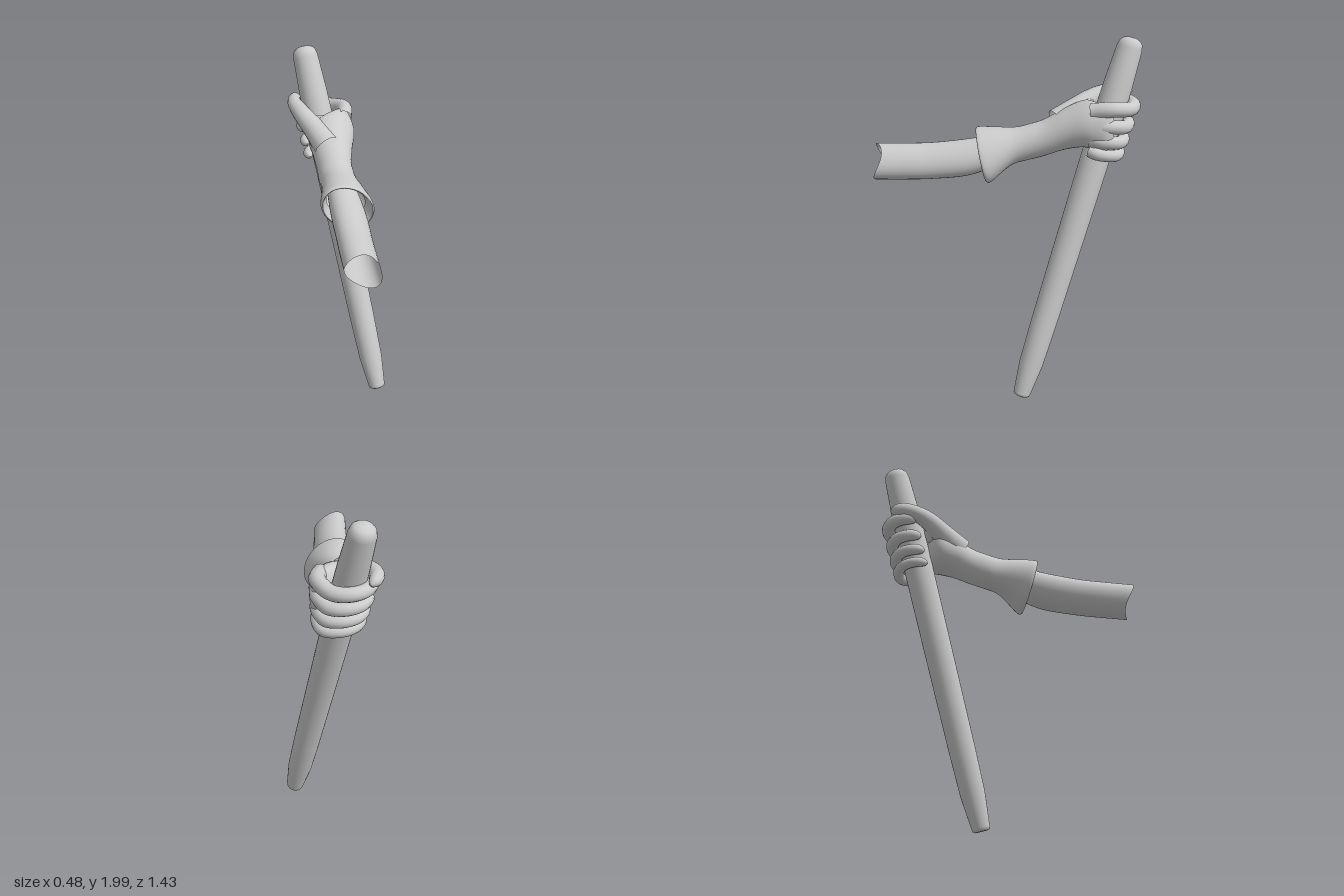
import * as THREE from 'three';
import { mergeVertices } from 'three/addons/utils/BufferGeometryUtils.js';

const V = (x, y, z) => new THREE.Vector3(x, y, z);
const material = new THREE.MeshStandardMaterial({ color: 0xcccccc, side: THREE.DoubleSide });

function part(name, geometry) {
  const mesh = new THREE.Mesh(geometry, material);
  mesh.name = name;
  return mesh;
}

// Skin over elliptical sections [z, centreX, centreY, radiusA, radiusB, roll], running towards -z.
// edge(z, angle, dy) returns a z offset that shapes the rim.
function loft(sections, rings, edge) {
  const sides = 32, pos = [], index = [];
  const centres = new THREE.CatmullRomCurve3(sections.map(s => V(s[1], s[2], s[0])), false, 'catmullrom');
  const sizes = new THREE.CatmullRomCurve3(sections.map(s => V(s[3], s[4], s[5])), false, 'catmullrom');
  for (let i = 0; i <= rings; i++) {
    const c = centres.getPoint(i / rings), s = sizes.getPoint(i / rings);
    for (let j = 0; j < sides; j++) {
      const a = j / sides * Math.PI * 2;
      const u = Math.cos(a) * s.x, v = Math.sin(a) * s.y;
      const dx = u * Math.cos(s.z) - v * Math.sin(s.z);
      const dy = u * Math.sin(s.z) + v * Math.cos(s.z);
      pos.push(c.x + dx, c.y + dy, c.z + edge(c.z, a, dy));
      if (i < rings) {
        const p = i * sides + j, q = i * sides + (j + 1) % sides;
        index.push(p, p + sides, q, q, p + sides, q + sides);
      }
    }
  }
  const g = new THREE.BufferGeometry();
  g.setAttribute('position', new THREE.Float32BufferAttribute(pos, 3));
  g.setIndex(index);
  g.computeVertexNormals();
  return g;
}

// Tapered tube with a rounded tip
function digit(points, r0, r1) {
  const steps = 40, sides = 14, curve = new THREE.CatmullRomCurve3(points);
  const g = new THREE.TubeGeometry(curve, steps, 1, sides);
  const p = g.attributes.position, v = V(0, 0, 0), round = 0.12;
  for (let i = 0; i <= steps; i++) {
    const t = i / steps, c = curve.getPointAt(t);
    const k = Math.max(0, (t - 1 + round) / round);
    const r = THREE.MathUtils.lerp(r0, r1, t) * Math.sqrt(Math.max(0.0004, 1 - k * k));
    for (let j = 0; j <= sides; j++) {
      const n = i * (sides + 1) + j;
      v.fromBufferAttribute(p, n).sub(c).multiplyScalar(r).add(c);
      p.setXYZ(n, v.x, v.y, v.z);
    }
  }
  g.deleteAttribute('normal');
  g.deleteAttribute('uv');
  const merged = mergeVertices(g, 1e-5);
  merged.computeVertexNormals();
  return merged;
}

export function createModel() {
  const model = new THREE.Group();

  // Leaning staff, tapered at the foot and rounded at the top
  const foot = V(0.19, 0.015, -0.085), top = V(-0.137, 1.985, -0.66);
  const axis = top.clone().sub(foot);
  const profile = [[0, 0], [0.036, 0], [0.046, 0.006], [0.049, 0.02], [0.067, 0.2], [0.072, 0.45], [0.078, 1.2],
    [0.081, 1.65], [0.078, 1.82], [0.069, 2.02], [0.061, 2.05], [0.045, 2.067], [0.02, 2.075], [0, 2.076]];
  const staff = part('staff', new THREE.LatheGeometry(profile.map(p => new THREE.Vector2(...p)), 28));
  staff.position.copy(foot);
  staff.quaternion.setFromUnitVectors(V(0, 1, 0), axis.clone().normalize());
  model.add(staff);

  // Forearm, hollow with a wavy open end
  model.add(part('forearm', loft([
    [0.695, -0.06, 1.32, 0.104, 0.078, -0.75],
    [0.55, -0.053, 1.323, 0.104, 0.08, -0.75],
    [0.4, -0.045, 1.33, 0.104, 0.08, -0.75],
    [0.2, -0.037, 1.355, 0.104, 0.082, -0.75],
    [0.02, -0.04, 1.405, 0.085, 0.075, -0.75],
  ], 24, (z, a) => 0.022 * Math.cos(2 * a) * THREE.MathUtils.smoothstep(z, 0.5, 0.69))));

  // Glove: rolled cuff rim, narrow wrist, then the palm beside the staff
  model.add(part('glove', loft([
    [0.07, -0.03, 1.38, 0.115, 0.09, -0.75],
    [0.125, -0.03, 1.37, 0.142, 0.106, -0.75],
    [0.138, -0.03, 1.37, 0.152, 0.116, -0.75],
    [0.118, -0.03, 1.372, 0.159, 0.122, -0.75],
    [0.05, -0.033, 1.395, 0.133, 0.107, -0.7],
    [-0.04, -0.043, 1.418, 0.101, 0.095, -0.6],
    [-0.12, -0.048, 1.437, 0.095, 0.098, -0.4],
    [-0.2, -0.045, 1.462, 0.096, 0.1, -0.25],
    [-0.3, -0.038, 1.51, 0.111, 0.11, -0.1],
    [-0.4, -0.025, 1.545, 0.128, 0.124, 0],
    [-0.46, 0.02, 1.548, 0.088, 0.128, 0],
    [-0.52, 0.053, 1.535, 0.052, 0.118, 0],
    [-0.555, 0.06, 1.53, 0.025, 0.08, 0],
    [-0.565, 0.06, 1.53, 0.001, 0.005, 0],
  ], 78, (z, a, dy) => 0.22 * dy * THREE.MathUtils.smoothstep(z, -0.05, 0.1))));

  // Four fingers curling around the back of the staff
  const fingers = new THREE.Group();
  fingers.name = 'fingers';
  [[1.643, 0.041], [1.55, 0.038], [1.47, 0.036], [1.4, 0.032]].forEach(([y, r], i) => {
    const c = foot.clone().addScaledVector(axis, (y - foot.y) / axis.y);
    const points = [V(0.05, y - 0.012 + i * 0.01, -0.44), V(0.07, y + 0.005, c.z + 0.01)];
    [45, 85, 125, 165, 200].forEach((deg, k) => {
      const a = deg * Math.PI / 180, R = [0.122, 0.113, 0.109, 0.107, 0.104][k];
      points.push(V(c.x + R * Math.cos(a), y - 0.01 + k * 0.004, c.z - R * Math.sin(a)));
    });
    const finger = part('finger' + (i + 1), digit(points, r * 1.08, r * 0.78));
    fingers.add(finger);
  });
  model.add(fingers);

  // Thumb hooking past the other side of the staff
  model.add(part('thumb', digit([
    V(-0.07, 1.54, -0.27), V(-0.12, 1.6, -0.37), V(-0.175, 1.655, -0.47),
    V(-0.203, 1.682, -0.56), V(-0.2, 1.69, -0.62), V(-0.17, 1.685, -0.675),
  ], 0.075, 0.028)));

  // Web of skin between thumb and palm
  model.add(part('thumbWeb', digit([
    V(-0.16, 1.635, -0.43), V(-0.1, 1.61, -0.43), V(-0.02, 1.61, -0.43), V(0.05, 1.615, -0.47),
  ], 0.045, 0.055)));

  return model;
}
